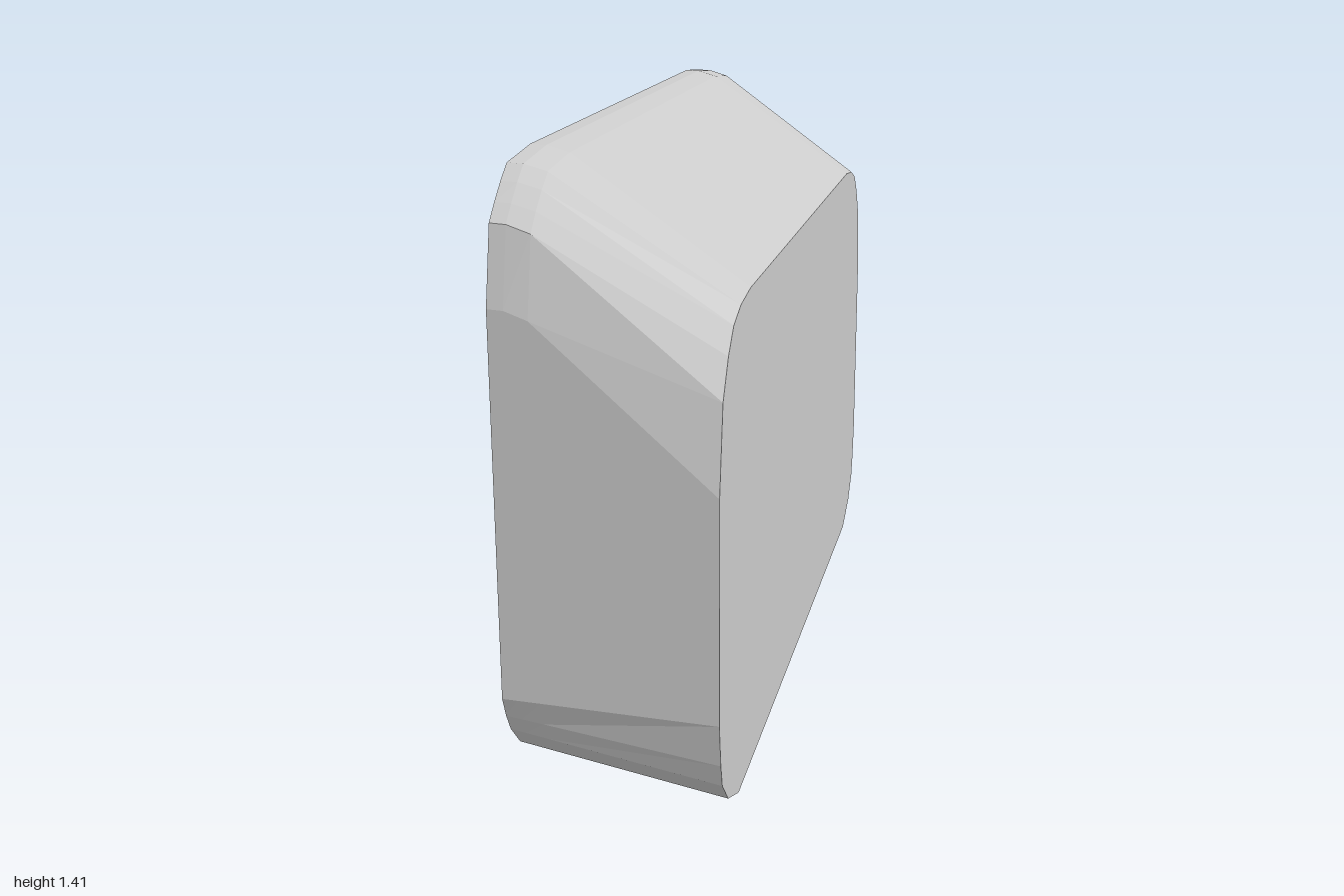
import * as THREE from 'three';

// Half outlines [z, y] of the two end faces, bottom to top
const smallEnd = [[0.8, 0], [0.91, 0.05], [0.97, 0.115], [0.985, 0.17], [1, 0.27], [1, 0.77],
  [0.97, 0.96], [0.92, 1.04], [0.87, 1.09], [0.8, 1.115], [0.7, 1.127]];
const tallEnd = [[0.8, 0.095], [0.9, 0.125], [0.955, 0.185], [0.98, 0.23], [1, 0.28], [1, 1.13],
  [0.965, 1.295], [0.93, 1.33], [0.89, 1.365], [0.85, 1.395], [0.7, 1.41]];

// Sections along x: [x, blend of the lower points, blend of the upper points]
const stations = [[-0.235, 0, 0], [-0.2, 0.074, 0.005], [-0.15, 0.181, 0.055], [0.235, 1, 1]];

function section([x, low, high]) {
  const half = tallEnd.map(([z, y], j) => {
    const t = j < 5 ? low : high;
    return new THREE.Vector3(x,
      THREE.MathUtils.lerp(y, smallEnd[j][1], t),
      THREE.MathUtils.lerp(z, smallEnd[j][0], t));
  });
  const mirrored = half.map((p) => new THREE.Vector3(p.x, p.y, -p.z)).reverse();
  return [...half, ...mirrored];
}

// Skin the sections and close both ends
function loft(rings) {
  const n = rings[0].length;
  const positions = [];
  const tri = (...points) => points.forEach((p) => positions.push(p.x, p.y, p.z));
  for (let i = 0; i < rings.length - 1; i++) {
    const a = rings[i], b = rings[i + 1];
    for (let j = 0; j < n; j++) {
      const k = (j + 1) % n;
      tri(a[j], b[j], b[k]);
      tri(a[j], b[k], a[k]);
    }
  }
  const first = rings[0], last = rings[rings.length - 1];
  for (let j = 1; j < n - 1; j++) {
    tri(first[0], first[j], first[j + 1]);
    tri(last[0], last[j + 1], last[j]);
  }
  const geometry = new THREE.BufferGeometry();
  geometry.setAttribute('position', new THREE.Float32BufferAttribute(positions, 3));
  geometry.computeVertexNormals();
  return geometry;
}

export function createModel() {
  const group = new THREE.Group();
  group.name = 'roundedWedge';
  const material = new THREE.MeshStandardMaterial({ color: 0xcccccc, flatShading: true });
  const body = new THREE.Mesh(loft(stations.map(section)), material);
  body.name = 'slantedBlock';
  group.add(body);
  return group;
}
